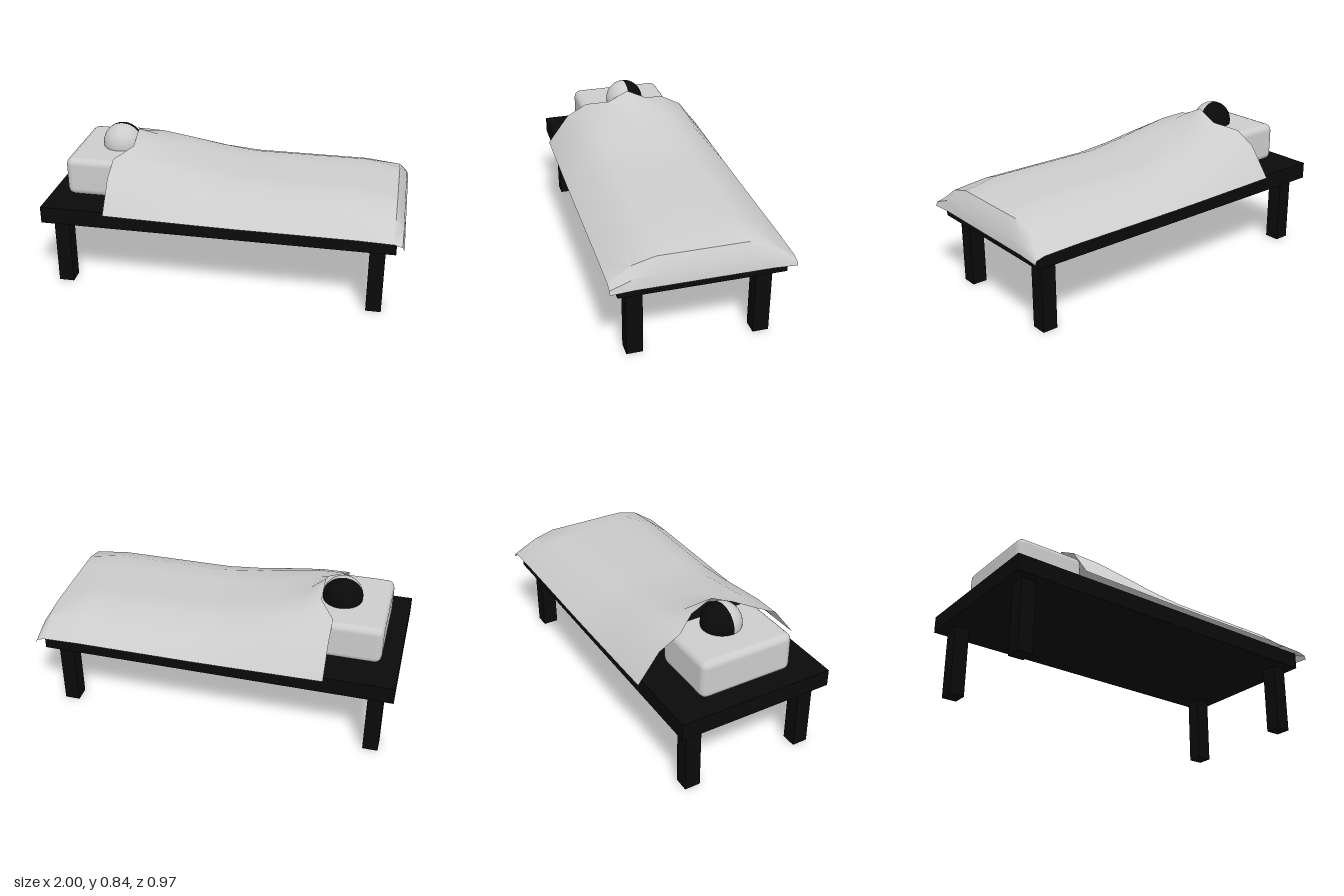
import * as THREE from 'three';
import { toCreasedNormals } from 'three/addons/utils/BufferGeometryUtils.js';
import { RoundedBoxGeometry } from 'three/addons/geometries/RoundedBoxGeometry.js';

const black = new THREE.MeshStandardMaterial({ color: 0x0a0a0a });
black.name = 'black';
const linen = new THREE.MeshStandardMaterial({ color: 0xcccccc, side: THREE.DoubleSide });
linen.name = 'pale grey';

function add(parent, name, geometry, material, x = 0, y = 0, z = 0) {
  const mesh = new THREE.Mesh(geometry, material);
  mesh.name = name;
  mesh.position.set(x, y, z);
  parent.add(mesh);
  return mesh;
}

// Draped sheet lofted from mirrored cross-sections running head to foot
function blanketGeometry() {
  const halfZ = [0, 0.12, 0.24, 0.36, 0.484];
  // x position (per column at the notched head edge), then heights from middle to hem
  const rows = [
    [[-0.54, -0.54, -0.625, -0.625, -0.625], [0.82, 0.762, 0.725, 0.66, 0.495]],
    [-0.46, [0.752, 0.745, 0.72, 0.655, 0.492]],
    [-0.3, [0.712, 0.71, 0.695, 0.635, 0.49]],
    [-0.1, [0.667, 0.667, 0.66, 0.606, 0.487]],
    [0.1, [0.636, 0.636, 0.634, 0.588, 0.485]],
    [0.75, [0.634, 0.634, 0.634, 0.587, 0.485]],
    [0.945, [0.597, 0.597, 0.597, 0.565, 0.48]],
    [0.99, [0.525, 0.525, 0.525, 0.515, 0.468]],
    [1.0, [0.455, 0.455, 0.455, 0.455, 0.448]],
  ];
  const positions = [], index = [];
  rows.forEach(([x, heights], r) => {
    for (let c = -4; c <= 4; c++) {
      const k = Math.abs(c);
      positions.push(Array.isArray(x) ? x[k] : x, heights[k], Math.sign(c) * halfZ[k] - 0.003);
      if (r < rows.length - 1 && c < 4) {
        const a = r * 9 + c + 4;
        index.push(a, a + 1, a + 9, a + 1, a + 10, a + 9);
      }
    }
  });
  const geometry = new THREE.BufferGeometry();
  geometry.setAttribute('position', new THREE.Float32BufferAttribute(positions, 3));
  geometry.setIndex(index);
  return toCreasedNormals(geometry, 0.7);
}

export function createModel() {
  const model = new THREE.Group();
  model.name = 'bed with sleeper';

  // Bed base and legs
  const frame = new THREE.Group();
  frame.name = 'bedFrame';
  model.add(frame);
  add(frame, 'bedBase', new THREE.BoxGeometry(1.96, 0.095, 0.885), black, -0.02, 0.4425, -0.0075);
  for (const x of [-0.902, 0.863])
    for (const z of [0.338, -0.35])
      add(frame, 'leg', new THREE.BoxGeometry(0.085, 0.4, 0.088), black, x, 0.2, z);

  // Bedding
  add(model, 'pillow', new RoundedBoxGeometry(0.4, 0.222, 0.54, 2, 0.04), linen, -0.7, 0.605, -0.006);
  add(model, 'blanket', blanketGeometry(), linen);

  // Head: pale front half and dark hair on the back half
  const head = new THREE.Group();
  head.name = 'head';
  head.position.set(-0.64, 0.734, -0.007);
  head.rotation.y = 0.08;
  model.add(head);
  add(head, 'face', new THREE.SphereGeometry(0.11, 20, 24, 0, Math.PI), linen);
  add(head, 'hair', new THREE.SphereGeometry(0.11, 20, 24, Math.PI, Math.PI), black);

  return model;
}
